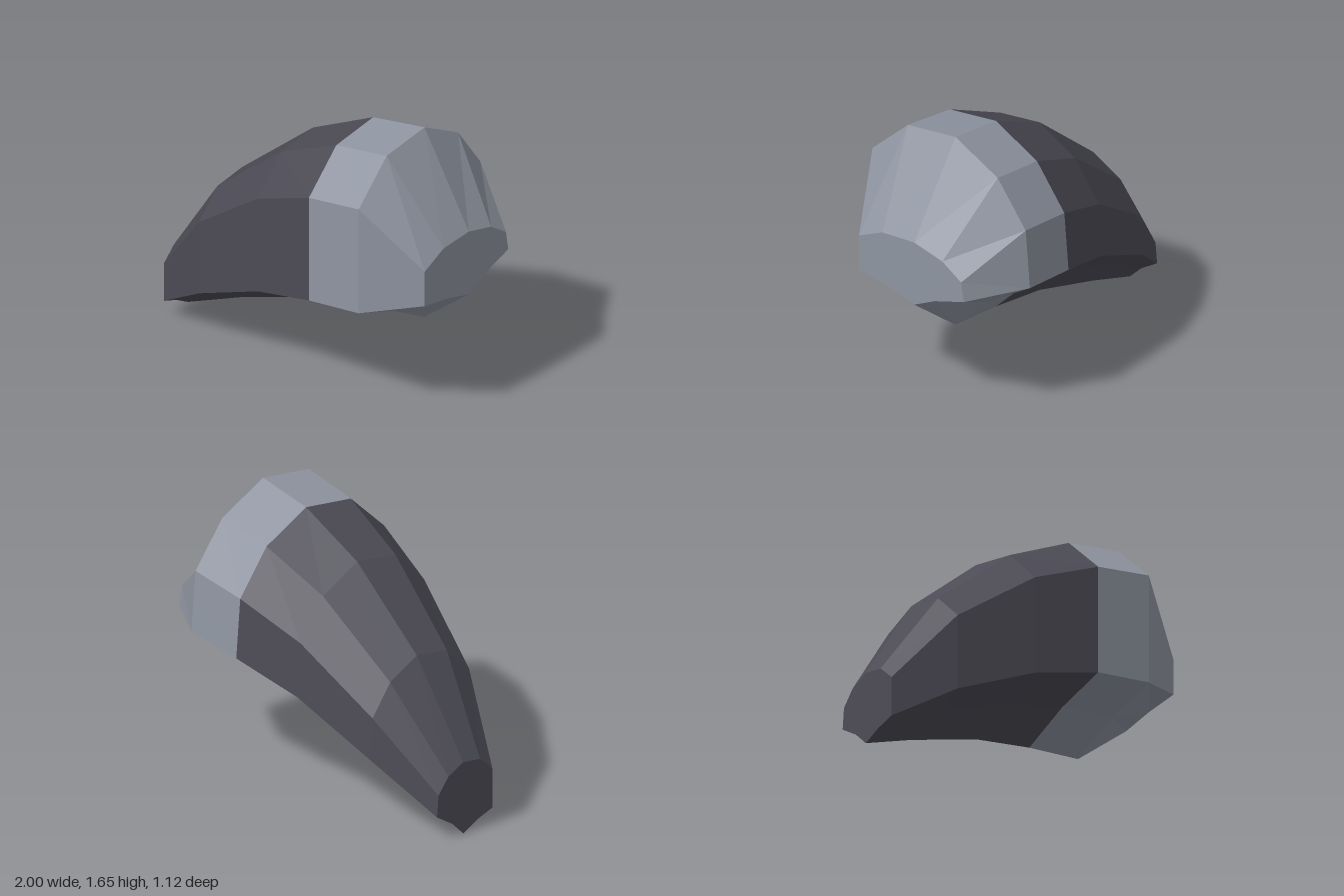
import * as THREE from 'three';

// Shared ten-sided outline: [back-to-front, bottom-to-top], each 0..1
const outline = [
  [1, 0.224], [1, 0.772], [0.775, 0.967], [0.473, 1], [0.205, 0.868],
  [0.027, 0.645], [0, 0.347], [0.274, 0.185], [0.473, 0], [0.725, 0.13],
];

// Sections along the curve: x, back z, front z, bottom y, top y
const sections = [
  [-1, -0.17, 0.24, 0, 0.435],
  [-0.63, -0.35, 0.385, 0.145, 0.975],
  [-0.13, -0.46, 0.48, 0.31, 1.39],
  [0.29, -0.55, 0.545, 0.395, 1.59],
  [0.66, -0.565, 0.56, 0.44, 1.65],
  [1, -0.36, 0.39, 0.71, 1.11],
];

const ringAt = ([x, zBack, zFront, yLow, yTop]) => outline.map(([u, v]) =>
  [x, yLow + v * (yTop - yLow), zBack + u * (zFront - zBack)]);

// Faceted skin through a run of sections, with an optional cap at either end
function loft(run, { capStart = false, capEnd = false }) {
  const rings = run.map(ringAt);
  const n = outline.length;
  const pos = [];
  const tri = (...corners) => corners.forEach((c) => pos.push(...c));
  const centre = (ring) => [0, 1, 2].map((k) => ring.reduce((s, p) => s + p[k], 0) / n);
  const first = rings[0];
  const last = rings[rings.length - 1];
  for (let j = 0; j < n; j++) {
    const k = (j + 1) % n;
    for (let i = 0; i < rings.length - 1; i++) {
      const a = rings[i];
      const b = rings[i + 1];
      tri(a[j], b[j], a[k]);
      tri(b[j], b[k], a[k]);
    }
    if (capStart) tri(centre(first), first[j], first[k]);
    if (capEnd) tri(centre(last), last[k], last[j]);
  }
  const geometry = new THREE.BufferGeometry();
  geometry.setAttribute('position', new THREE.Float32BufferAttribute(pos, 3));
  geometry.computeVertexNormals();
  return geometry;
}

export function createModel() {
  const darkGrey = new THREE.MeshStandardMaterial({ color: 0x4c4b55 });
  darkGrey.name = 'darkGrey';
  const lightGrey = new THREE.MeshStandardMaterial({ color: 0x8f95a1 });
  lightGrey.name = 'lightGrey';
  darkGrey.flatShading = lightGrey.flatShading = true;

  const model = new THREE.Group();
  model.name = 'curvedHorn';

  // Dark tapering length with its blunt tip
  const shaft = new THREE.Mesh(loft(sections.slice(0, 4), { capStart: true }), darkGrey);
  shaft.name = 'taperedShaft';

  // Pale root that narrows to a flat end
  const root = new THREE.Mesh(loft(sections.slice(3), { capEnd: true }), lightGrey);
  root.name = 'paleRoot';

  model.add(shaft, root);
  return model;
}
